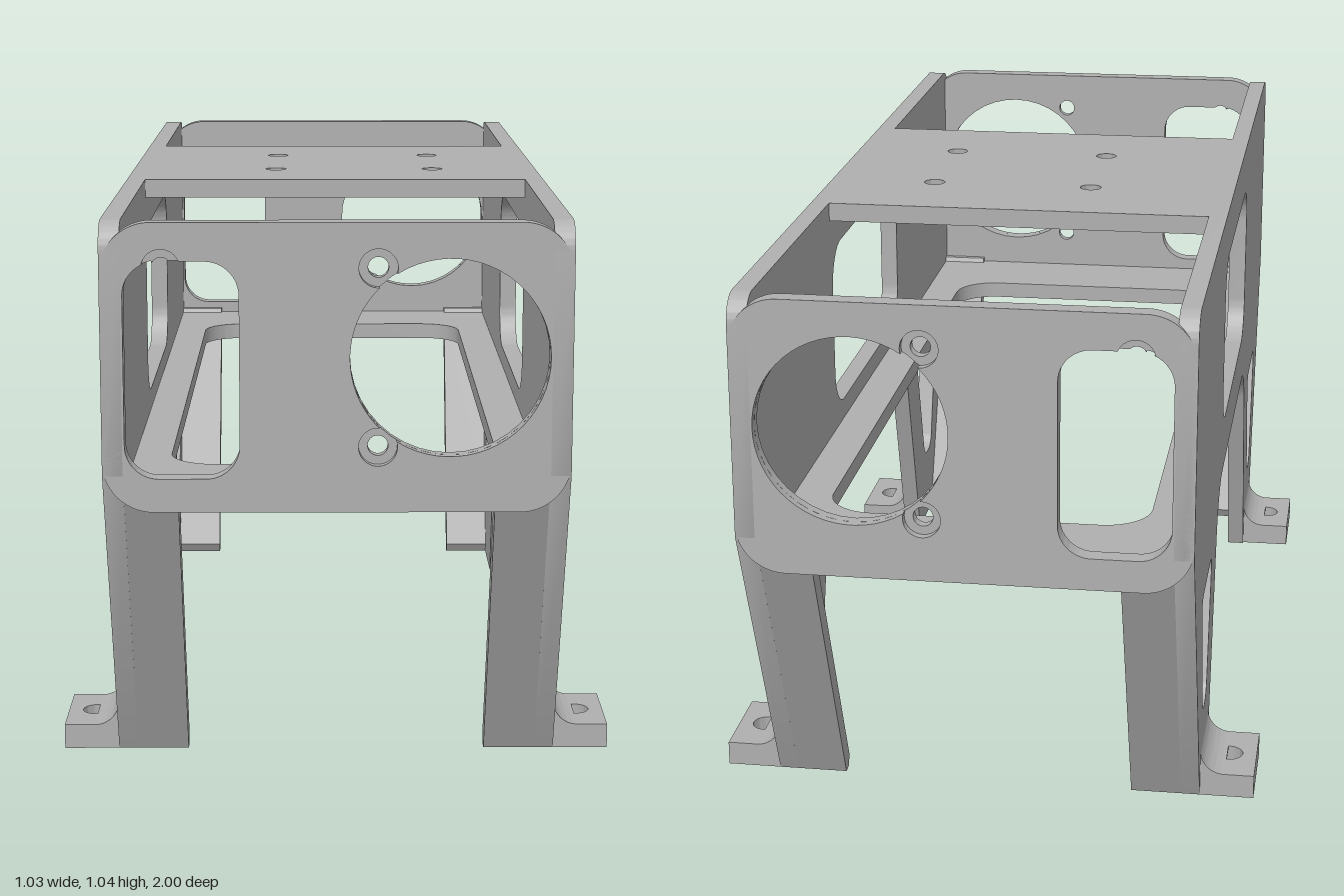
import * as THREE from 'three';
import { toCreasedNormals } from 'three/addons/utils/BufferGeometryUtils.js';

const metal = new THREE.MeshStandardMaterial({ color: 0xb0b0b0 });
metal.name = 'grey metal';

const PI = Math.PI;
const HALF = 0.412;   // half width over the side panels
const T = 0.036;      // sheet thickness
const TOP = 1.038;

// Closed outline through corners [x, y, radius], each corner rounded
function outline(corners, Type = THREE.Path) {
  const p = new Type();
  const n = corners.length;
  corners.forEach(([x, y, r = 0], i) => {
    const c = new THREE.Vector2(x, y);
    const toward = (q) => new THREE.Vector2(q[0], q[1]).sub(c).setLength(r).add(c);
    const a = r ? toward(corners[(i + n - 1) % n]) : c;
    const b = r ? toward(corners[(i + 1) % n]) : c;
    if (i) p.lineTo(a.x, a.y); else p.moveTo(a.x, a.y);
    // cubic approximation of a circular fillet
    const k = 0.5523;
    if (r) {
      const a2 = a.clone().lerp(c, k), b2 = b.clone().lerp(c, k);
      p.bezierCurveTo(a2.x, a2.y, b2.x, b2.y, b.x, b.y);
    }
  });
  p.closePath();
  return p;
}
const rect = (x0, x1, y0, y1, r, Type) =>
  outline([[x0, y0, r], [x1, y0, r], [x1, y1, r], [x0, y1, r]], Type);
const circle = (x, y, r) => new THREE.Path().absarc(x, y, r, 0, PI * 2, false);

function extrude(shape, depth) {
  const g = new THREE.ExtrudeGeometry(shape, { depth, bevelEnabled: false, curveSegments: 20 });
  return toCreasedNormals(g, 0.5);
}
function part(name, geometry) {
  const m = new THREE.Mesh(geometry, metal);
  m.name = name;
  return m;
}
// Profile drawn in (z, y), running from x0 to x1
const alongX = (shape, x0, x1) => extrude(shape, x1 - x0).rotateY(-PI / 2).translate(x1, 0, 0);
// Plan drawn in (x, -z), running from y0 to y1
const alongY = (shape, y0, y1) => extrude(shape, y1 - y0).rotateX(-PI / 2).translate(0, y0, 0);

// Side panel with two legs, a window and a cut-out in each leg
function sidePanelShape() {
  const half = [
    [0.394, 0.498, 0.09], [0.549, 0], [0.74, 0], [1, 0.59], [1, TOP, 0.05],
  ];
  const mirrored = half.map(([z, y, r]) => [-z, y, r]).reverse();
  const s = outline([...half, ...mirrored], THREE.Shape);
  s.holes.push(rect(-0.323, 0.327, 0.6, 0.938, 0.08));
  for (const k of [1, -1]) {
    s.holes.push(outline([
      [k * 0.785, 0.42, 0.035], [k * 0.705, 0.155, 0.03],
      [k * 0.625, 0.155, 0.03], [k * 0.545, 0.42, 0.035],
    ]));
  }
  return s;
}

// Round opening merged with two overlapping screw recesses on its -x side
function keyedCircle(cx, cy, R, screws, r) {
  const p = new THREE.Path();
  const cuts = screws.map(([x, y]) => {
    const d = Math.hypot(x - cx, y - cy);
    return {
      x, y,
      a: (Math.atan2(y - cy, x - cx) + 2 * PI) % (2 * PI),
      big: Math.acos((d * d + R * R - r * r) / (2 * d * R)),
      small: Math.acos((d * d + r * r - R * R) / (2 * d * r)),
    };
  }).sort((m, n) => m.a - n.a);
  cuts.forEach((c, i) => {
    const prev = cuts[(i + cuts.length - 1) % cuts.length];
    const from = prev.a + prev.big - (i ? 0 : 2 * PI);
    p.absarc(cx, cy, R, from, c.a - c.big, false);
    p.absarc(c.x, c.y, r, c.a + PI + c.small, c.a + 3 * PI - c.small, false);
  });
  p.closePath();
  return p;
}

// Tall slot whose upper edge is notched by a screw hole of radius r
function notchedSlot(r) {
  const x0 = -0.372, x1 = -0.17, y0 = 0.585, y1 = 0.97, c = 0.06;
  const rise = 0.013;
  const w = Math.sqrt(r * r - rise * rise);
  const p = new THREE.Path();
  p.absarc(x0 + c, y0 + c, c, PI, PI * 1.5, false);
  p.absarc(x1 - c, y0 + c, c, PI * 1.5, PI * 2, false);
  p.absarc(x1 - c, y1 - c, c, 0, PI / 2, false);
  p.absarc(-0.305, y1 - rise, r, Math.asin(rise / r), PI - Math.asin(0.008 / r), false);
  p.absarc(x0 + c, y1 - c, c, PI / 2 + Math.asin((w - 0.007) / c), PI, false);
  p.closePath();
  return p;
}

// End plate in two layers so the screw holes are counterbored from outside
function endPlate(name) {
  const g = new THREE.Group();
  g.name = name;
  const blank = () => rect(-HALF, HALF, 0.525, TOP, 0.09, THREE.Shape);
  const screws = [[0.072, 0.958], [0.072, 0.642]];
  const inner = blank();
  inner.holes.push(notchedSlot(0.018), circle(0.198, 0.8, 0.175),
    ...screws.map(([x, y]) => circle(x, y, 0.018)));
  const outer = blank();
  outer.holes.push(notchedSlot(0.034), keyedCircle(0.198, 0.8, 0.175, screws, 0.034));
  g.add(part('endPlateInner', extrude(inner, 0.02).translate(0, 0, 0.964)));
  g.add(part('endPlateOuter', extrude(outer, 0.016).translate(0, 0, 0.984)));
  return g;
}

// Mirror a geometry in x and/or z, keeping the faces turned outward
function mirror(geometry, sx, sz) {
  const g = geometry.clone().scale(sx, 1, sz);
  if (sx * sz < 0) {
    for (const key of ['position', 'normal', 'uv']) {
      const a = g.attributes[key], n = a.itemSize;
      for (let i = 0; i < a.count; i += 3) {
        for (let j = 0; j < n; j++) {
          const t = a.array[(i + 1) * n + j];
          a.array[(i + 1) * n + j] = a.array[(i + 2) * n + j];
          a.array[(i + 2) * n + j] = t;
        }
      }
    }
  }
  return g;
}

export function createModel() {
  const model = new THREE.Group();
  model.name = 'mountingFrame';

  // Side panels
  const side = sidePanelShape();
  model.add(part('leftSidePanel', alongX(side, HALF - T, HALF)));
  model.add(part('rightSidePanel', alongX(side, -HALF, -HALF + T)));

  // End plates
  const front = endPlate('frontPlate');
  model.add(front);
  const back = new THREE.Group();
  back.name = 'backPlate';
  for (const m of front.children) back.add(part(m.name, mirror(m.geometry, 1, -1)));
  model.add(back);

  // Top deck with four screw holes
  const inside = HALF - T;
  const deck = rect(-inside, inside, -0.336, 0.338, 0, THREE.Shape);
  for (const x of [-0.121, 0.2]) for (const z of [-0.138, 0.138]) deck.holes.push(circle(x, z, 0.021));
  model.add(part('topDeck', alongY(deck, TOP - T, TOP)));

  // Bottom frame with a large opening
  const base = rect(-inside, inside, -0.965, 0.965, 0, THREE.Shape);
  base.holes.push(rect(-0.308, 0.302, -0.772, 0.775, 0.09));
  model.add(part('bottomFrame', alongY(base, 0.525, 0.56)));

  // Slanted leg flange, foot tab and its fillet, repeated at four corners
  const flange = alongX(outline([
    [0.74, 0], [0.991, 0.57], [0.951, 0.57], [0.709, 0.02], [0.72, 0],
  ].reverse(), THREE.Shape), 0.28, HALF - 0.01);

  const tab = rect(HALF - T, 0.515, -0.74, -0.555, 0, THREE.Shape);
  tab.holes.push(circle(0.46, -0.647, 0.028));
  const foot = alongY(tab, 0, 0.046);

  const web = new THREE.Shape();
  web.moveTo(HALF - 0.01, 0.04);
  web.lineTo(HALF + 0.046, 0.04);
  web.lineTo(HALF + 0.046, 0.046);
  web.absarc(HALF + 0.046, 0.092, 0.046, PI * 1.5, PI, true);
  web.lineTo(HALF - 0.01, 0.092);
  web.closePath();
  const fillet = extrude(web, 0.185).translate(0, 0, 0.555);

  for (const sx of [1, -1]) for (const sz of [1, -1]) {
    const leg = new THREE.Group();
    leg.name = (sz > 0 ? 'front' : 'back') + (sx > 0 ? 'Left' : 'Right') + 'Leg';
    leg.add(part('legFlange', mirror(flange, sx, sz)));
    leg.add(part('footTab', mirror(foot, sx, sz)));
    leg.add(part('footFillet', mirror(fillet, sx, sz)));
    model.add(leg);
  }
  return model;
}
